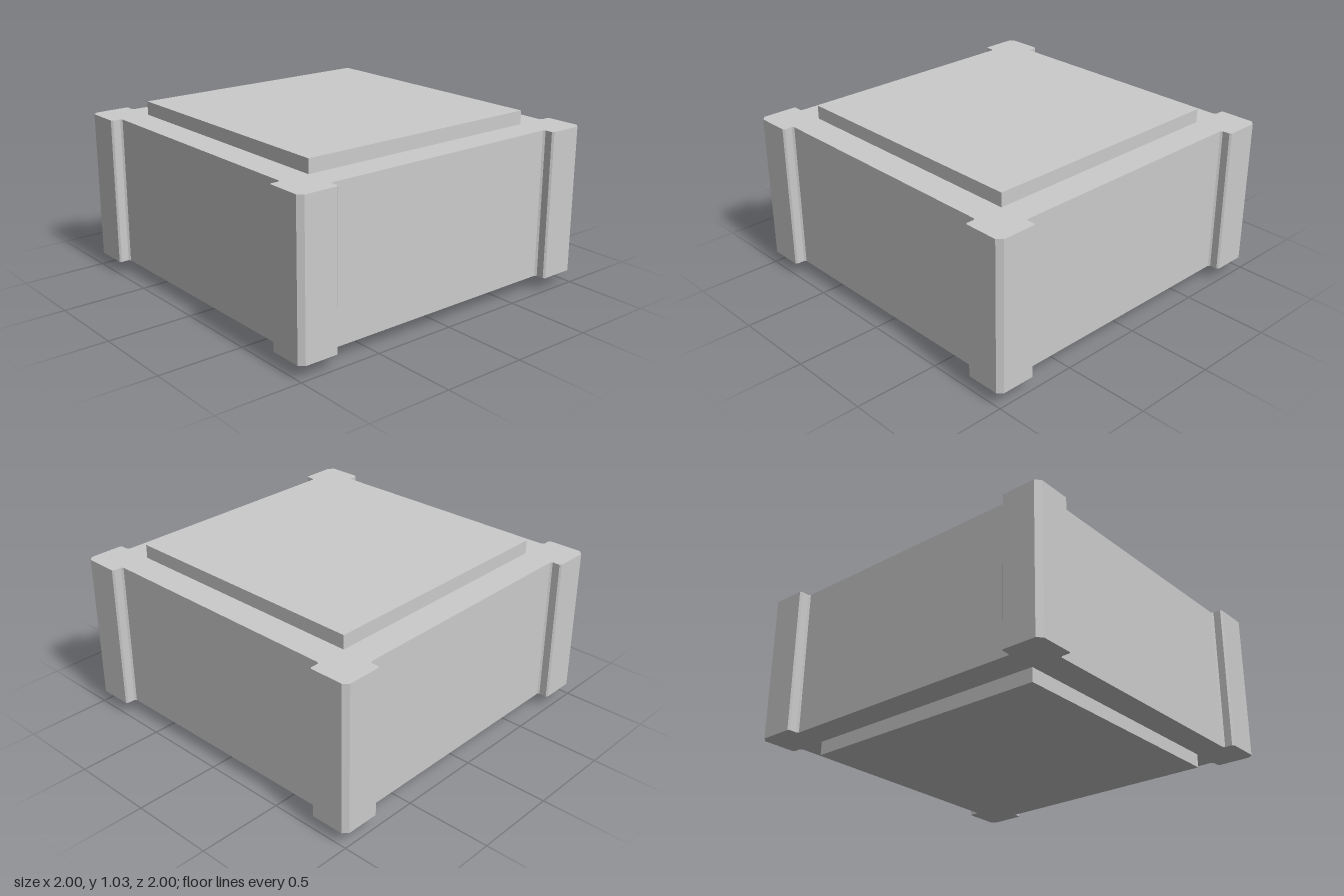
import * as THREE from 'three';

const BOTTOM = 0.08, TOP = 0.95, HEIGHT = 1.03, PLATE = 1.525;

export function createModel() {
  const model = new THREE.Group();
  const material = new THREE.MeshStandardMaterial({ color: 0xcccccc, flatShading: true });

  const add = (name, geometry, y) => {
    const mesh = new THREE.Mesh(geometry, material);
    mesh.name = name;
    mesh.position.y = y;
    model.add(mesh);
  };

  // One corner post with chamfered edges, turned four times to make the outline
  const corner = [
    [0.755, 0.935], [0.765, 0.945], [0.765, 0.99], [0.775, 1], [0.972, 1],
    [1, 0.972], [1, 0.775], [0.99, 0.765], [0.945, 0.765], [0.935, 0.755],
  ];
  const outline = [];
  for (let i = 0; i < 4; i++) {
    const c = [1, 0, -1, 0][i], s = [0, 1, 0, -1][i];
    for (const [x, y] of corner) outline.push(new THREE.Vector2(x * c + y * s, y * c - x * s));
  }

  // Body with recessed side panels between the corner posts
  const body = new THREE.ExtrudeGeometry(new THREE.Shape(outline), {
    depth: TOP - BOTTOM, bevelEnabled: false,
  });
  body.rotateX(-Math.PI / 2);
  add('bodyWithCornerPosts', body, BOTTOM);

  // Raised square plates above and below
  const plate = (name, y0, y1) =>
    add(name, new THREE.BoxGeometry(PLATE, y1 - y0, PLATE), (y0 + y1) / 2);
  plate('topPlate', TOP, HEIGHT);
  plate('basePlate', 0, BOTTOM);

  return model;
}
